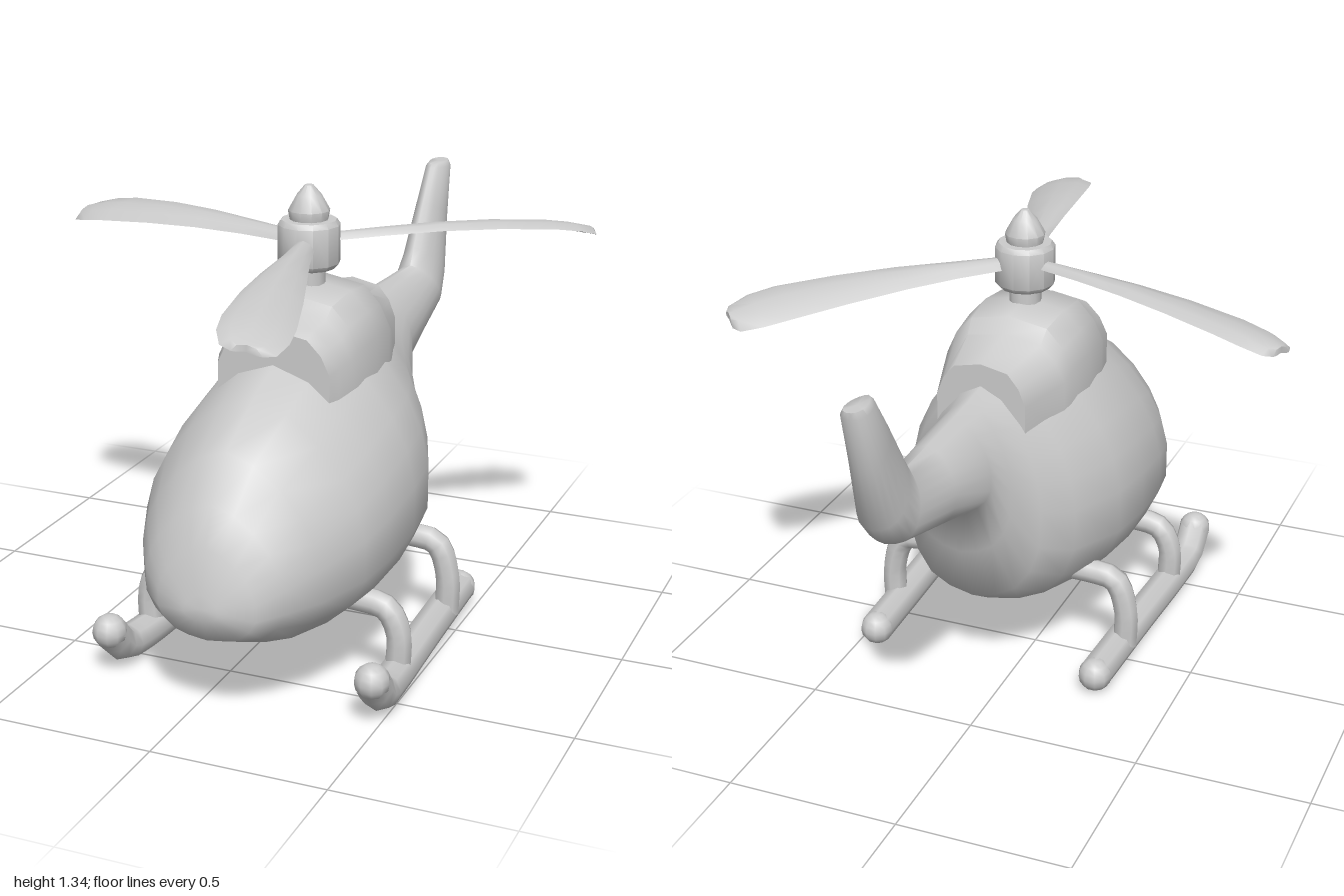
import * as THREE from 'three';
import { mergeVertices, toCreasedNormals } from 'three/addons/utils/BufferGeometryUtils.js';

const material = new THREE.MeshStandardMaterial({ color: 0xcccccc });
const CX = 0.09; // fuselage centre line
const MAST_Z = 0.145;

function addMesh(parent, name, geometry) {
  const mesh = new THREE.Mesh(geometry, material);
  mesh.name = name;
  parent.add(mesh);
  return mesh;
}

// Closed skin over rings of [x, y, z], ordered front to back, each counterclockwise from the front
function loft(rings, crease = 0.9) {
  const n = rings[0].length;
  const positions = rings.flat(2);
  const index = [];
  for (let i = 0; i < rings.length - 1; i++) {
    for (let j = 0; j < n; j++) {
      const a = i * n + j, b = i * n + (j + 1) % n;
      index.push(a, a + n, b, b, a + n, b + n);
    }
  }
  const cap = (start, flip) => {
    const ring = rings[start / n];
    const c = positions.length / 3;
    positions.push(...[0, 1, 2].map(k => ring.reduce((s, p) => s + p[k], 0) / n));
    for (let j = 0; j < n; j++) {
      const a = start + j, b = start + (j + 1) % n;
      if (flip) index.push(c, b, a); else index.push(c, a, b);
    }
  };
  cap(0, false);
  cap((rings.length - 1) * n, true);
  const geometry = new THREE.BufferGeometry();
  geometry.setAttribute('position', new THREE.Float32BufferAttribute(positions, 3));
  geometry.setIndex(index);
  return toCreasedNormals(mergeVertices(geometry), crease);
}

// Ring from a half profile of [width, height] fractions, mirrored left to right.
// A section is [bottom z, bottom y, top z, top y, half width].
function sectionRing(profile, [bz, by, tz, ty, w]) {
  const mirrored = profile.filter(p => p[0] > 0).reverse().map(([u, t]) => [-u, t]);
  return [...profile, ...mirrored].map(([u, t]) => [u * w, by + (ty - by) * t, bz + (tz - bz) * t]);
}

function fuselage() {
  const egg = [[0, 0], [0.36, 0.025], [0.66, 0.075], [0.88, 0.17], [1, 0.29], [1, 0.46],
    [0.93, 0.59], [0.8, 0.71], [0.58, 0.84], [0.3, 0.95], [0, 1]];
  const sections = [
    [0.87, 0.33, 0.865, 0.40, 0.05],
    [0.835, 0.26, 0.835, 0.52, 0.14],
    [0.78, 0.235, 0.79, 0.62, 0.2],
    [0.67, 0.185, 0.70, 0.74, 0.26],
    [0.53, 0.167, 0.53, 0.83, 0.325],
    [0.40, 0.16, 0.40, 0.885, 0.345],
    [0.22, 0.162, 0.22, 0.94, 0.352],
    [0.06, 0.17, 0.06, 0.95, 0.335],
    [-0.15, 0.21, -0.10, 0.93, 0.265],
    [-0.27, 0.285, -0.19, 0.918, 0.2],
    [-0.35, 0.47, -0.28, 0.908, 0.145],
    [-0.405, 0.63, -0.38, 0.902, 0.117],
    [-0.60, 0.68, -0.55, 0.897, 0.095],
    [-0.82, 0.735, -0.69, 0.895, 0.075],
    [-0.89, 0.81, -0.72, 0.945, 0.065],
    [-0.945, 1.0, -0.80, 1.075, 0.048],
    [-0.995, 1.165, -0.868, 1.175, 0.036],
    [-0.995, 1.185, -0.88, 1.185, 0.026],
  ];
  return loft(sections.map(s => sectionRing(egg, s)), 1.1);
}

// Raised engine cover under the mast
function engineCover() {
  const dome = [[0, 0], [1, 0], [1, 0.55], [0.85, 0.76], [0.6, 0.93], [0, 1]];
  const sections = [
    [0.397, 0.985, 0.165], [0.36, 1.005, 0.178], [0.30, 1.018, 0.19], [0.265, 1.05, 0.197],
    [0.14, 1.065, 0.205], [0.02, 1.05, 0.195], [-0.02, 1.01, 0.188], [-0.19, 0.985, 0.135],
  ];
  return loft(sections.map(([z, top, w]) => sectionRing(dome, [z, 0.74, z, top, w])), 0.8);
}

// Blade reaching along +z, drooping at the tip, its +x edge slightly lower
function blade() {
  const sections = [ // radius, half width, height
    [0.875, 0.04, 1.118], [0.86, 0.07, 1.122], [0.80, 0.09, 1.137], [0.72, 0.093, 1.15],
    [0.55, 0.08, 1.165], [0.38, 0.06, 1.172], [0.22, 0.04, 1.172], [0.06, 0.027, 1.17],
  ];
  const outline = [[-1, 0], [-0.6, -1], [0, -1], [0.6, -1], [1, 0], [0.6, 1], [0, 1], [-0.6, 1]];
  return loft(sections.map(([r, w, y]) => outline.map(([u, side]) =>
    [u * w, y + 0.014 * (1 - u * u) - 0.16 * u * w + side * 0.009, r])), 0.9);
}

function tube(points, radius, segments) {
  const curve = new THREE.CatmullRomCurve3(points.map(p => new THREE.Vector3(...p)));
  return new THREE.TubeGeometry(curve, segments, radius, 8);
}

// One landing skid on the +x side, or the -x side when side is -1
function landingSkid(side) {
  const skid = new THREE.Group();
  const at = ([x, y, z]) => [x * side, y, z];
  const rail = [[0.355, 0.05, -0.19], [0.368, 0.05, 0.15], [0.383, 0.05, 0.48],
    [0.39, 0.065, 0.58], [0.392, 0.13, 0.645]].map(at);
  addMesh(skid, 'skidRail', tube(rail, 0.05, 20));
  for (const end of [rail[0], rail[rail.length - 1]]) {
    addMesh(skid, 'skidEnd', new THREE.SphereGeometry(0.05, 10, 8)).position.set(...end);
  }
  for (const [name, z, rise] of [['frontStrut', 0.415, 0], ['rearStrut', 0, 0.03]]) {
    const path = [[0.14, 0.25 + rise, z], [0.27, 0.25 + rise, z], [0.345, 0.235 + rise, z],
      [0.38, 0.17, z], [0.38, 0.05, z]].map(at);
    addMesh(skid, name, tube(path, 0.037, 14));
  }
  return skid;
}

export function createModel() {
  const model = new THREE.Group();
  model.name = 'helicopter';
  model.position.x = CX;

  addMesh(model, 'fuselageAndTail', fuselage());
  addMesh(model, 'engineCover', engineCover());

  // Mast, hub and pointed cap in one turned profile
  const rotor = new THREE.Group();
  rotor.name = 'rotor';
  rotor.position.z = MAST_Z;
  const profile = [[0, 1.0], [0.047, 1.0], [0.047, 1.1], [0.075, 1.1], [0.088, 1.115], [0.088, 1.222],
    [0.078, 1.236], [0.054, 1.236], [0.059, 1.262], [0.035, 1.305], [0.012, 1.332], [0, 1.334]];
  const hub = new THREE.LatheGeometry(profile.map(p => new THREE.Vector2(...p)), 12);
  addMesh(rotor, 'rotorHub', toCreasedNormals(hub, 0.7));
  const bladeGeometry = blade();
  for (let i = 0; i < 3; i++) {
    addMesh(rotor, 'rotorBlade', bladeGeometry).rotation.y = THREE.MathUtils.degToRad(13 + i * 120);
  }
  model.add(rotor);

  for (const side of [1, -1]) {
    const skid = landingSkid(side);
    skid.name = side > 0 ? 'leftSkid' : 'rightSkid';
    model.add(skid);
  }

  const root = new THREE.Group();
  root.add(model);
  return root;
}
